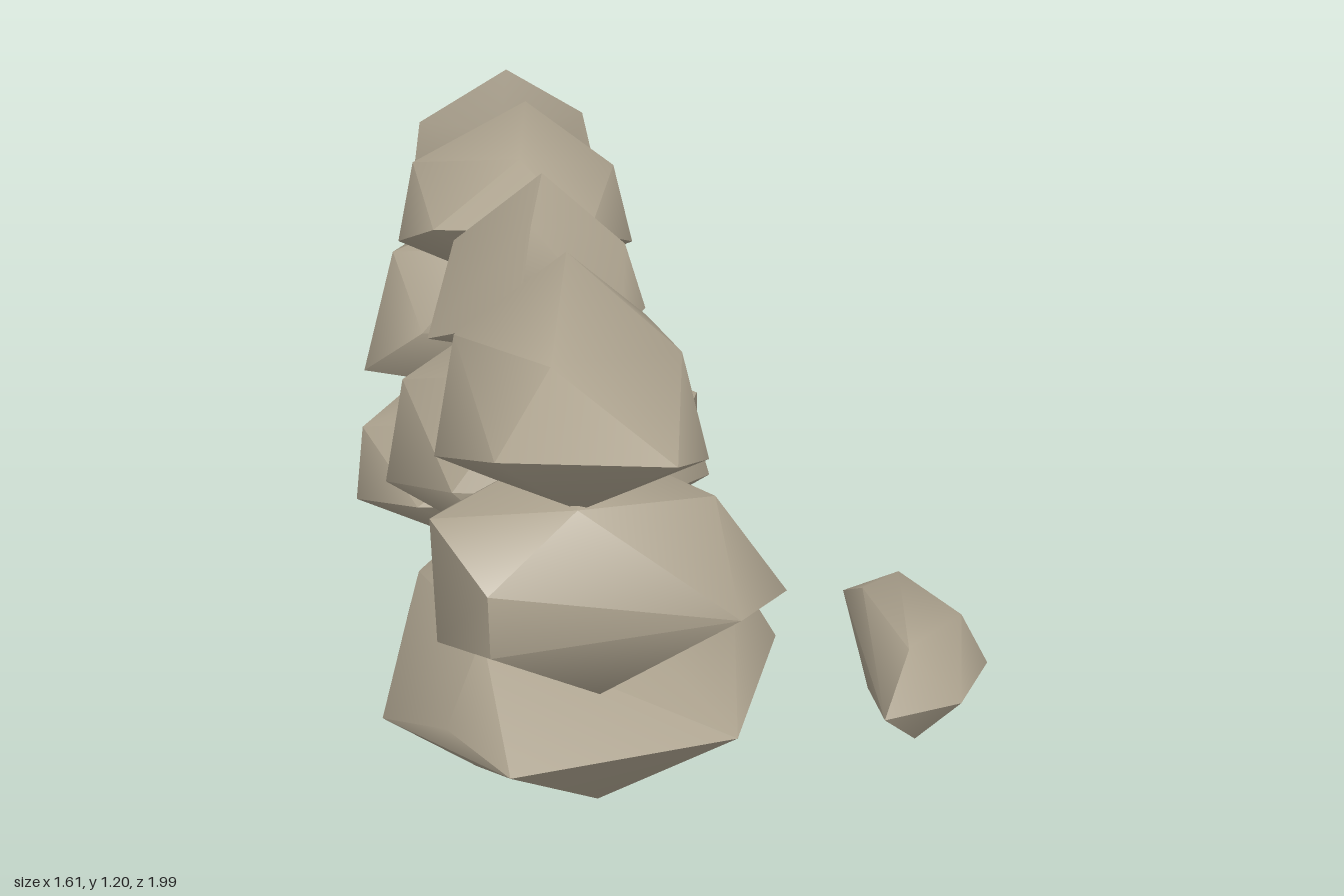
import * as THREE from 'three';
import { ConvexGeometry } from 'three/addons/geometries/ConvexGeometry.js';
import { mergeVertices, toCreasedNormals } from 'three/addons/utils/BufferGeometryUtils.js';

const stoneGrey = new THREE.MeshStandardMaterial({ color: 0xaca28e });
stoneGrey.name = 'stoneGrey';

// A rough stone: the hull of a few corners, smooth across its domed faces
function stone(name, corners) {
  const hull = new ConvexGeometry(corners.map((c) => new THREE.Vector3(...c)));
  hull.deleteAttribute('normal');
  const mesh = new THREE.Mesh(toCreasedNormals(mergeVertices(hull), 0.95), stoneGrey);
  mesh.name = name;
  return mesh;
}

// Corners run left end, belt, right end, crown, base
const stones = {
  // Bottom course
  bottomFrontStone: [
    [-0.63, 0.08, 0.57], [-0.61, 0.1, 0.15], [-0.55, 0.35, 0.35],
    [-0.45, 0.24, 0.82], [-0.3, 0.24, 0.99], [0.19, 0.24, 0.86],
    [0.32, 0.12, 0.3], [0.21, 0.32, 0.3], [0.14, 0.25, 0.06],
    [-0.4, 0.27, -0.1], [-0.05, 0.27, -0.12],
    [-0.37, 0.42, 0.72], [-0.2, 0.47, 0.4], [-0.1, 0.4, 0],
    [-0.12, 0, 0.77], [-0.12, 0.03, 0.1], [-0.4, 0.04, 0.7],
  ],
  bottomBackStone: [
    [-0.81, 0.12, -0.38], [-0.78, 0.34, -0.4],
    [-0.6, 0.27, -0.08], [0, 0.27, -0.07], [-0.19, 0.28, -1], [-0.62, 0.28, -0.92],
    [0.15, 0.39, -0.5], [0.16, 0.12, -0.5],
    [-0.3, 0.46, -0.22], [-0.3, 0.47, -0.62], [-0.3, 0.41, -0.83],
    [-0.3, 0.03, -0.17], [-0.35, 0.04, -0.7],
  ],
  // Middle course
  middleFrontStone: [
    [-0.46, 0.46, 0.8], [-0.46, 0.77, 0.8], [-0.45, 0.62, 0.5],
    [-0.33, 0.55, 0.99], [-0.33, 0.7, 0.99], [0.19, 0.55, 0.86], [0.05, 0.61, 0.46],
    [0.14, 0.75, 0.68], [0.31, 0.46, 0.61],
    [-0.15, 0.83, 0.87], [-0.15, 0.84, 0.57],
    [-0.11, 0.37, 0.87], [-0.11, 0.39, 0.6], [-0.42, 0.43, 0.62],
  ],
  middleCentreStone: [
    [-0.66, 0.42, 0.04], [-0.6, 0.71, 0.04],
    [-0.54, 0.6, -0.29], [-0.3, 0.62, -0.42], [-0.02, 0.62, -0.44],
    [-0.45, 0.62, 0.44], [0, 0.6, 0.44],
    [0.16, 0.44, 0.05], [0.08, 0.73, 0.05],
    [-0.25, 0.84, 0.27], [-0.25, 0.86, -0.22],
    [-0.25, 0.37, -0.25], [-0.25, 0.39, 0.4],
  ],
  middleBackStone: [
    [-0.79, 0.43, -0.57], [-0.69, 0.78, -0.6], [-0.71, 0.5, -0.88], [-0.67, 0.7, -0.88],
    [-0.15, 0.62, -0.96], [-0.05, 0.6, -0.42], [-0.6, 0.62, -0.41],
    [0, 0.45, -0.78], [-0.06, 0.74, -0.75],
    [-0.4, 0.84, -0.8], [-0.4, 0.83, -0.5],
    [-0.4, 0.4, -0.82], [-0.4, 0.42, -0.46],
  ],
  // Top course
  topFrontStone: [
    [-0.47, 0.79, 0.57], [-0.42, 1.05, 0.5],
    [-0.38, 0.95, 0.25], [0, 0.94, 0.17], [0.05, 0.98, 0.96], [-0.31, 0.97, 0.92],
    [0.07, 1.03, 0.55], [0.13, 0.79, 0.59],
    [-0.18, 1.17, 0.33], [-0.2, 1.12, 0.8],
    [-0.1, 0.76, 0.34], [-0.15, 0.81, 0.84],
  ],
  topCentreStone: [
    [-0.51, 0.83, -0.17], [-0.53, 0.83, 0.06], [-0.47, 1.02, -0.1],
    [-0.17, 0.95, -0.23], [-0.3, 0.94, 0.2], [-0.06, 0.86, 0.1],
    [0, 0.84, -0.09], [-0.05, 1.03, -0.05],
    [-0.25, 1.19, -0.11], [-0.27, 1.13, 0.08],
    [-0.27, 0.8, -0.08], [-0.27, 0.82, 0.13],
  ],
  topBackStone: [
    [-0.67, 0.82, -0.58], [-0.62, 1.04, -0.6],
    [-0.54, 0.97, -0.29], [-0.14, 0.98, -0.24], [-0.2, 0.93, -0.92], [-0.57, 0.93, -0.89],
    [-0.03, 0.82, -0.57], [-0.08, 1.03, -0.6],
    [-0.32, 1.16, -0.75], [-0.32, 1.12, -0.4],
    [-0.3, 0.78, -0.82], [-0.35, 0.76, -0.4],
  ],
  // Thin chip leaning on the back end
  backFlake: [
    [-0.67, 0.81, -0.89], [-0.63, 1.05, -0.9], [-0.38, 1.2, -0.91],
    [-0.17, 1.06, -0.95], [-0.12, 0.81, -0.97], [-0.25, 0.74, -0.92],
    [-0.4, 0.85, -0.87], [-0.4, 1.02, -0.88], [-0.38, 1.06, -0.94],
  ],
  // Fallen stone beside the wall
  looseStone: [
    [0.48, 0.26, 0.31], [0.51, 0.34, 0.42], [0.51, 0.18, 0.6],
    [0.63, 0.24, 0.28], [0.52, 0.24, 0.8], [0.7, 0.24, 0.74],
    [0.8, 0.2, 0.53], [0.73, 0.33, 0.52],
    [0.6, 0.36, 0.38], [0.58, 0.36, 0.7],
    [0.61, 0.11, 0.4], [0.61, 0.11, 0.7],
  ],
};

export function createModel() {
  const wall = new THREE.Group();
  wall.name = 'dryStoneWall';
  for (const [name, corners] of Object.entries(stones)) wall.add(stone(name, corners));
  return wall;
}
